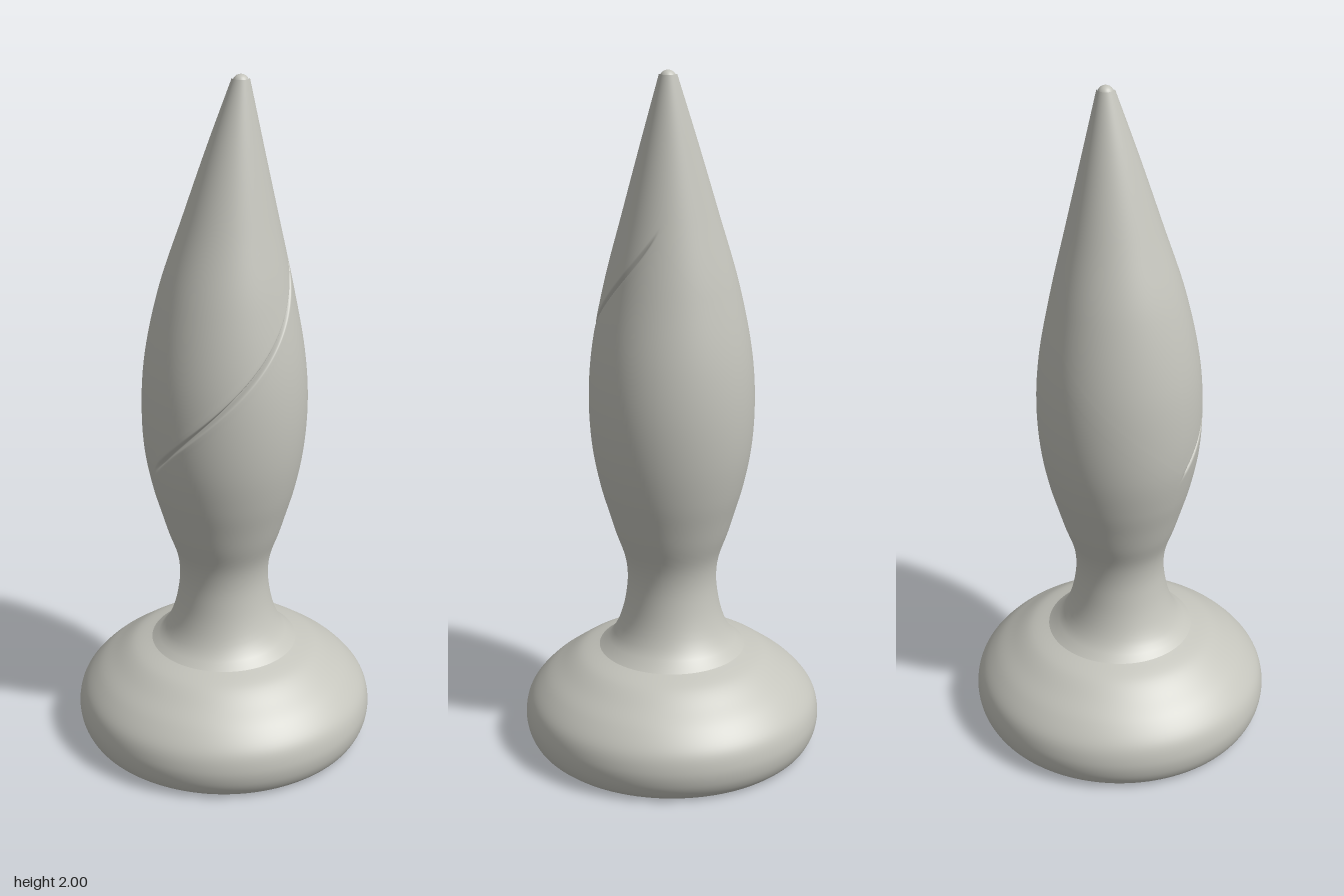
import * as THREE from 'three';

const stone = new THREE.MeshStandardMaterial({ color: 0xc4c4bc });
stone.name = 'warm grey';

// Height, radius and sideways lean of the stem and body
const HEIGHTS = [0.3, 0.32, 0.35, 0.4, 0.46, 0.52, 0.58, 0.66, 0.72, 0.8, 0.92, 1.06, 1.2, 1.4, 1.6, 1.8, 1.99];
const RADII = [0.212, 0.187, 0.166, 0.146, 0.133, 0.128, 0.135, 0.162, 0.18, 0.203, 0.226, 0.234, 0.225, 0.187, 0.133, 0.078, 0.024];
const LEAN = [0, 0, 0, 0, 0, 0, 0, 0, 0, 0, 0, 0.002, 0.003, 0.007, 0.02, 0.034, 0.05];
const radiusAt = new THREE.CubicInterpolant(HEIGHTS, RADII, 1);
const leanAt = new THREE.CubicInterpolant(HEIGHTS, LEAN, 1);

// Round body whose rows of vertices follow a groove that climbs across the front
function bodyGeometry() {
  const bottom = 0.3, top = 1.99, mid = 1.25, band = 0.03, segments = 128;
  const rows = [];
  for (let i = 0; i < 44; i++) rows.push(bottom + (mid - band - bottom) * i / 44);
  for (let i = 0; i < 30; i++) rows.push(mid - band + 2 * band * i / 30);
  for (let i = 0; i <= 36; i++) rows.push(mid + band + (top - mid - band) * i / 36);

  const positions = [], index = [];
  rows.forEach((t, i) => {
    // Rows slide fully with the groove near it, and not at all at the ends
    const follow = Math.min(1, (t - bottom) / (mid - band - bottom), (top - t) / (top - mid - band));
    for (let j = 0; j < segments; j++) {
      const a = 2 * Math.PI * j / segments;
      const turn = a > Math.PI ? 2 * Math.PI - a : a;
      const y = t + (1.59 - 0.225 * turn - mid) * follow;
      const fade = a < Math.PI
        ? THREE.MathUtils.smoothstep(a, 0.02, 0.5) * (1 - THREE.MathUtils.smoothstep(a, 2.85, 3.1)) : 0;
      const groove = 0.018 * fade * Math.exp(-(((t - mid) / 0.007) ** 2));
      const r = radiusAt.evaluate(y)[0] - groove;
      const x = leanAt.evaluate(y)[0];
      positions.push(x + r * Math.cos(a), y, r * Math.sin(a));
      if (i < rows.length - 1) {
        const p = i * segments + j, q = i * segments + (j + 1) % segments;
        index.push(p, p + segments, q, q, p + segments, q + segments);
      }
    }
  });
  const geometry = new THREE.BufferGeometry();
  geometry.setAttribute('position', new THREE.Float32BufferAttribute(positions, 3));
  geometry.setIndex(index);
  geometry.computeVertexNormals();
  return geometry;
}

export function createModel() {
  const group = new THREE.Group();
  group.name = 'gamePiece';
  const add = (name, geometry) => {
    const mesh = new THREE.Mesh(geometry, stone);
    mesh.name = name;
    group.add(mesh);
    return mesh;
  };

  // Cushion-shaped foot
  const outline = new THREE.SplineCurve([
    [0.388, 0], [0.41, 0.02], [0.426, 0.055], [0.43, 0.1], [0.416, 0.15],
    [0.375, 0.2], [0.325, 0.24], [0.27, 0.278], [0.212, 0.3],
  ].map(([r, y]) => new THREE.Vector2(r, y)));
  add('base', new THREE.LatheGeometry(outline.getPoints(48), 128));
  add('underside', new THREE.CircleGeometry(0.388, 128)).rotation.x = Math.PI / 2;

  add('body', bodyGeometry());

  // Small bead closing the leaning point
  add('tip', new THREE.SphereGeometry(0.023, 24, 16)).position.set(0.05, 1.977, 0);
  return group;
}
